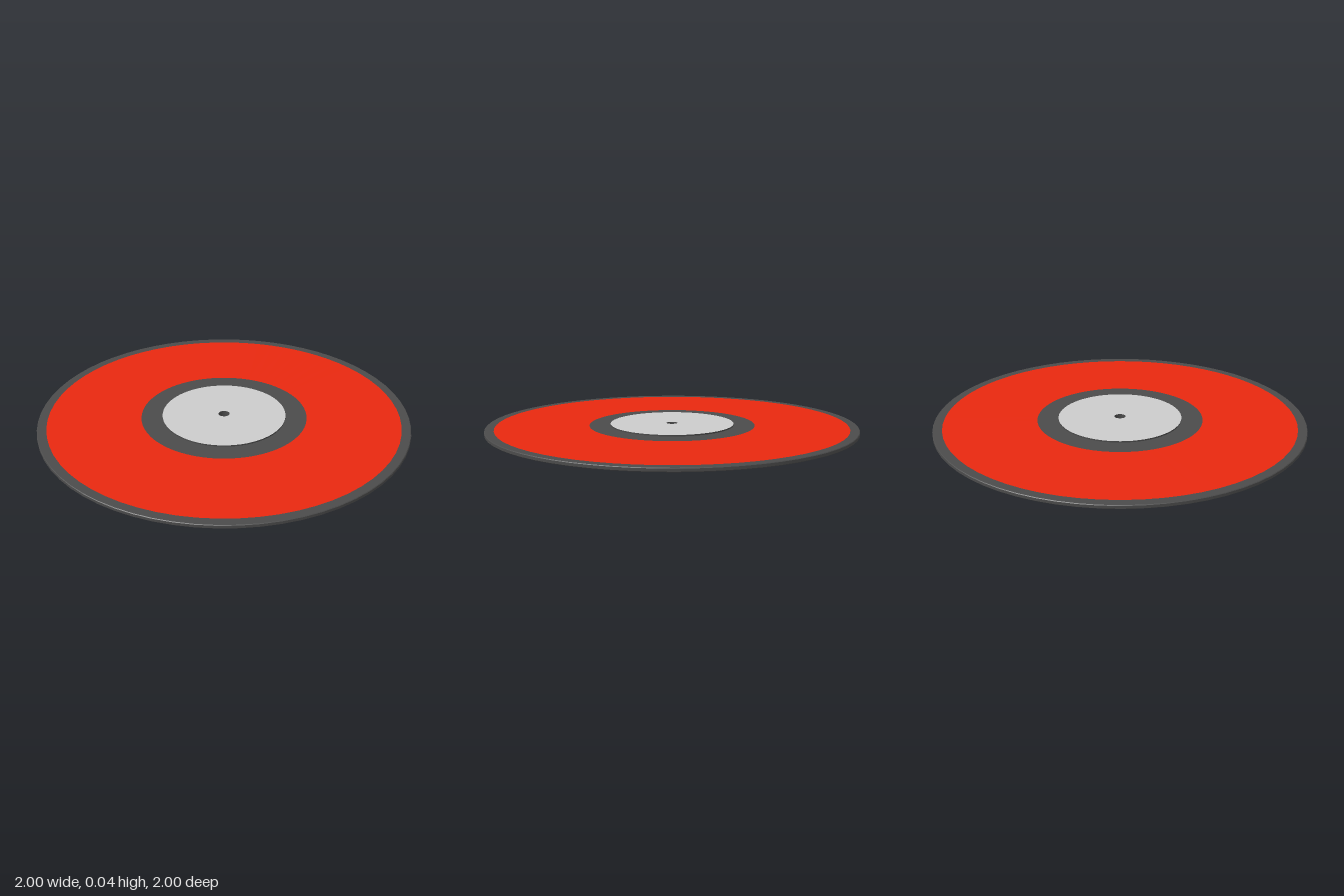
import * as THREE from 'three';

const SEGMENTS = 64;
const HOLE = 0.03, LABEL = 0.333, INNER = 0.447, OUTER = 0.95, RIM = 1;
const MID = 0.0175, DISC = 0.01, HUB = 0.0175; // centre height, half thicknesses

const paint = (color) => new THREE.MeshStandardMaterial({ color });

export function createModel() {
  const model = new THREE.Group();
  const vinyl = paint(0x4b4b4b);
  const grooveColor = paint(0xe8280f);
  const topColor = paint(0xcccccc);
  const bottomColor = paint(0x2010ff);

  // One straight band turned around the axis; up the outside, in across the top
  const band = (name, material, [r0, y0], [r1, y1], parent = model) => {
    const points = [new THREE.Vector2(r0, MID + y0), new THREE.Vector2(r1, MID + y1)];
    const mesh = new THREE.Mesh(new THREE.LatheGeometry(points, SEGMENTS), material);
    mesh.name = name;
    parent.add(mesh);
  };

  // Flat ring on the top (side 1) or the underside (side -1)
  const face = (name, material, inner, outer, height, side) => {
    const ends = [[outer, side * height], [inner, side * height]];
    if (side < 0) ends.reverse();
    band(name, material, ...ends);
  };

  for (const side of [1, -1]) {
    const prefix = side > 0 ? 'top' : 'bottom';
    face(prefix + 'Rim', vinyl, OUTER, RIM - 0.003, DISC, side);
    face(prefix + 'Grooves', grooveColor, INNER, OUTER, DISC, side);
    face(prefix + 'RunOut', vinyl, LABEL, INNER, DISC, side);
    face(prefix + 'Label', side > 0 ? topColor : bottomColor, HOLE, LABEL, HUB, side);
  }

  // Raised steps around both labels
  band('topLabelStep', vinyl, [LABEL, DISC], [LABEL, HUB]);
  band('bottomLabelStep', vinyl, [LABEL, -HUB], [LABEL, -DISC]);

  // Outer edge with a tiny bevel
  const edge = new THREE.Group();
  edge.name = 'outerEdge';
  model.add(edge);
  band('lowerBevel', vinyl, [RIM - 0.003, -DISC], [RIM, -DISC + 0.003], edge);
  band('edgeWall', vinyl, [RIM, -DISC + 0.003], [RIM, DISC - 0.003], edge);
  band('upperBevel', vinyl, [RIM, DISC - 0.003], [RIM - 0.003, DISC], edge);

  // Spindle hole wall
  band('spindleHole', vinyl, [HOLE, HUB], [HOLE, -HUB]);

  return model;
}
